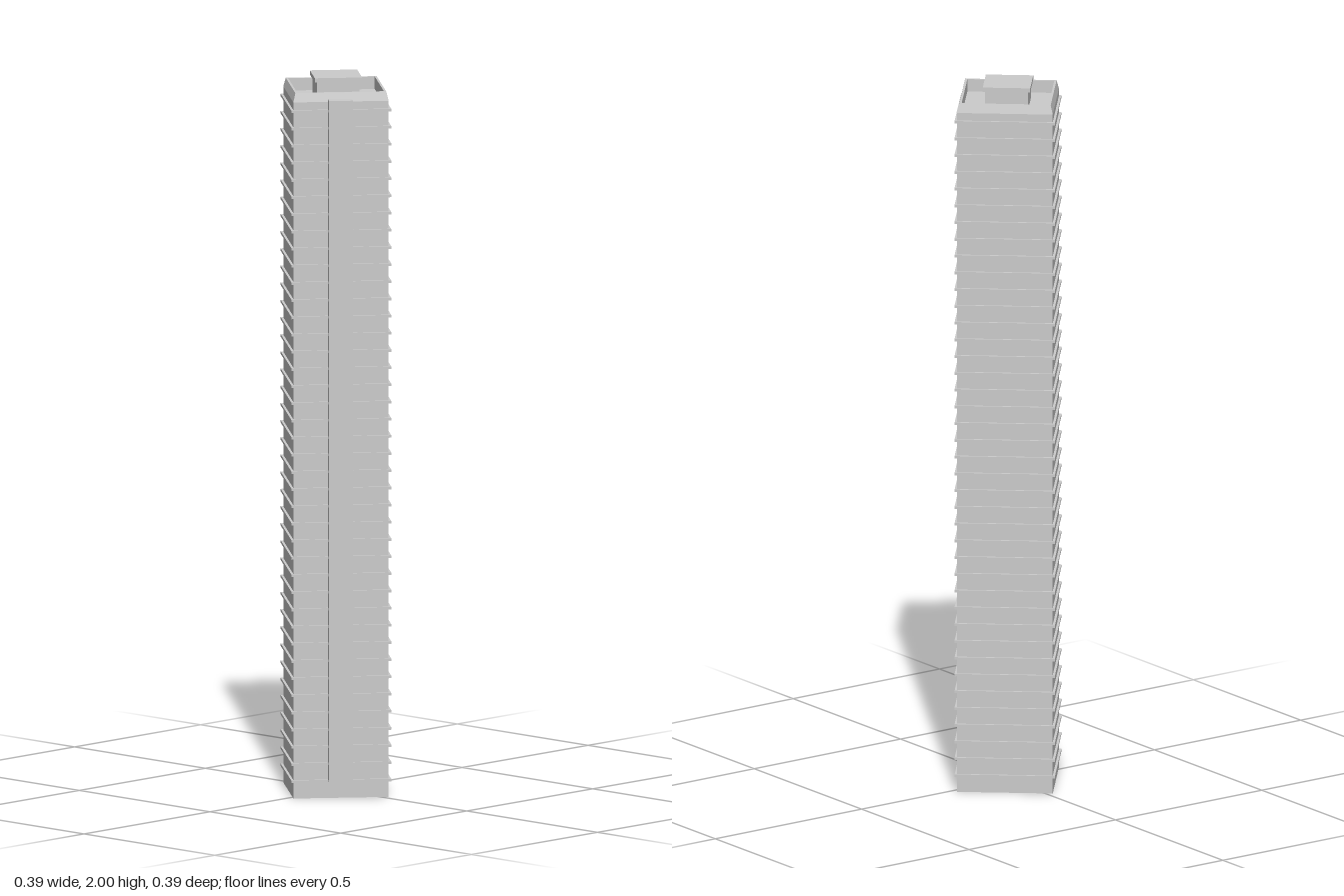
import * as THREE from 'three';

const material = new THREE.MeshStandardMaterial({ color: 0xcccccc, flatShading: true });

// Four-sided solid from a profile of [half width, height] pairs
function squareLathe(name, profile) {
  const points = profile.map(([half, y]) => new THREE.Vector2(half * Math.SQRT2, y));
  const geometry = new THREE.LatheGeometry(points, 4).rotateY(Math.PI / 4);
  const mesh = new THREE.Mesh(geometry, material);
  mesh.name = name;
  return mesh;
}

function box(name, w, h, d, x, y, z) {
  const mesh = new THREE.Mesh(new THREE.BoxGeometry(w, h, d), material);
  mesh.name = name;
  mesh.position.set(x, y, z);
  return mesh;
}

export function createModel() {
  const model = new THREE.Group();
  model.name = 'towerBlock';

  // The square plan stands turned on its site
  const tower = new THREE.Group();
  tower.name = 'tower';
  tower.rotation.y = THREE.MathUtils.degToRad(-40);
  model.add(tower);

  // Walls, sloping crown, parapet and sunken roof
  tower.add(squareLathe('walls', [
    [0, 0], [0.132, 0], [0.132, 1.945], [0.126, 1.97],
    [0.12, 1.97], [0.12, 1.935], [0, 1.935],
  ]));

  // Projecting floor ledges
  const floors = new THREE.Group();
  floors.name = 'floorLedges';
  const storey = 0.048;
  for (let i = 1; i <= 40; i++) {
    floors.add(box('floorLedge', 0.277, 0.007, 0.277, 0, i * storey, 0));
  }
  tower.add(floors);

  // Full-height lift shaft on one face
  tower.add(box('liftShaft', 0.066, 1.904, 0.061, -0.003, 1.0, 0.1305));

  // Rooftop plant room with overhanging cap
  tower.add(box('plantRoom', 0.118, 0.056, 0.118, 0, 1.961, 0));
  tower.add(box('plantRoomCap', 0.131, 0.012, 0.131, 0, 1.994, 0));

  return model;
}
